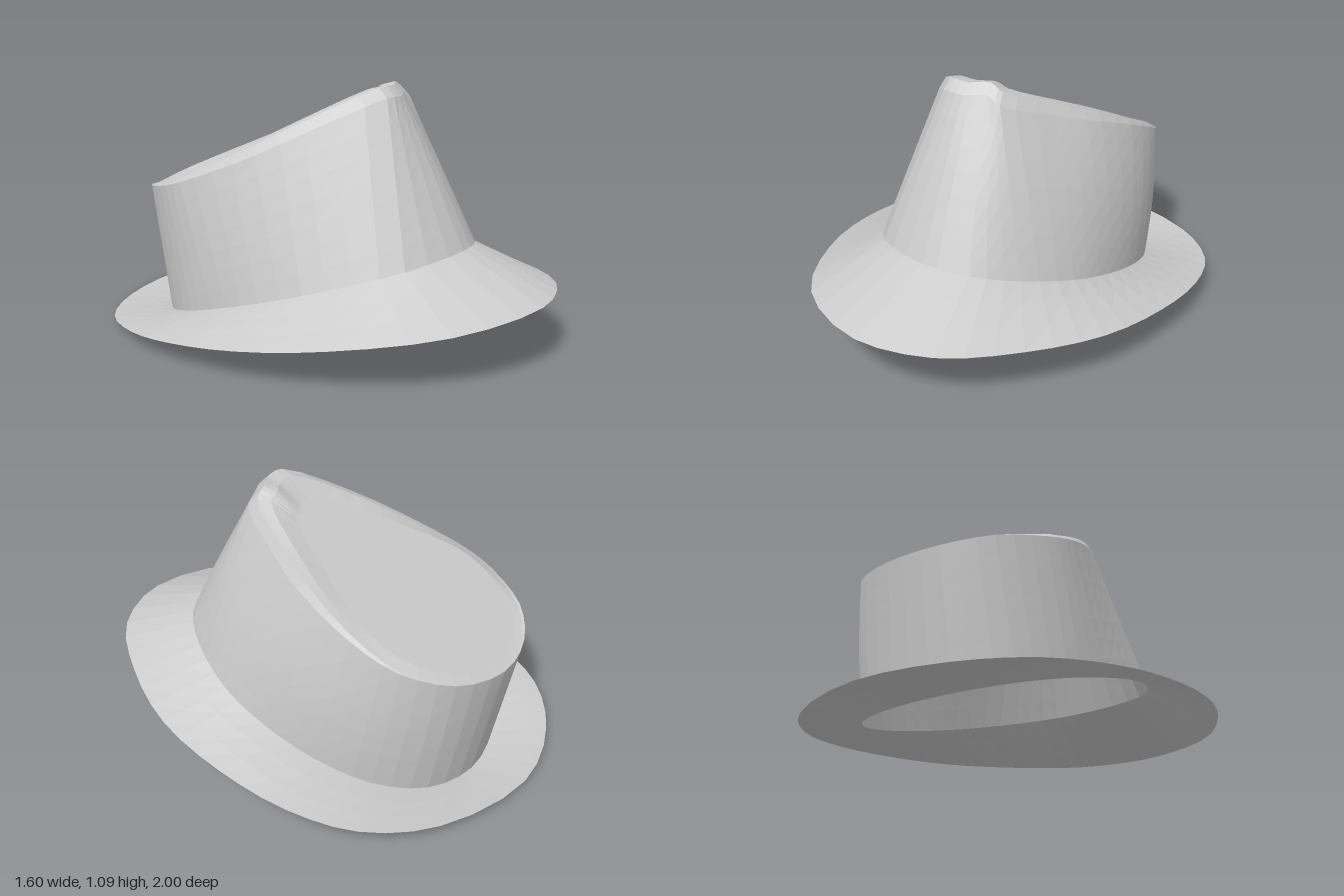
import * as THREE from 'three';

const SEG = 48;
const { clamp, lerp } = THREE.MathUtils;
const material = new THREE.MeshStandardMaterial({ color: 0xcccccc, flatShading: true, side: THREE.DoubleSide });

// Smooth closed ring through a few points; starts at the front and runs towards +x
function ring(points) {
  const curve = new THREE.CatmullRomCurve3(points.map(p => new THREE.Vector3(...p)), true);
  return Array.from({ length: SEG }, (_, i) => curve.getPoint(i / SEG));
}

// Lift [x, z] points onto a tilted plane
const onPlane = (points, y0, sx, sz) => points.map(([x, z]) => [x, y0 + sx * x + sz * z, z]);

// Surface through a stack of rings, outside facing out and up
function loft(name, rings) {
  const pos = rings.flat().flatMap(v => [v.x, v.y, v.z]);
  const index = [];
  for (let j = 0; j < rings.length - 1; j++) {
    for (let i = 0; i < SEG; i++) {
      const k = (i + 1) % SEG;
      const a = j * SEG + i, b = j * SEG + k, c = a + SEG, d = b + SEG;
      index.push(a, b, d, a, d, c);
    }
  }
  const geo = new THREE.BufferGeometry();
  geo.setAttribute('position', new THREE.Float32BufferAttribute(pos, 3));
  geo.setIndex(index);
  geo.computeVertexNormals();
  const mesh = new THREE.Mesh(geo, material);
  mesh.name = name;
  return mesh;
}

// Rings between two rings; the left side is pushed outwards in the middle by bulge
function between(lower, upper, steps, bulge) {
  return Array.from({ length: steps + 1 }, (_, j) => {
    const t = j / steps;
    return lower.map((p, i) => {
      const out = new THREE.Vector3(p.x, 0, p.z + 0.08).normalize();
      const amount = bulge * Math.max(0, out.x) * Math.sin(Math.PI * t);
      return p.clone().lerp(upper[i], t).addScaledVector(out, amount);
    });
  });
}

export function createModel() {
  const hat = new THREE.Group();
  hat.name = 'hat';

  // Outer edge of the brim
  const edge = ring(onPlane([
    [0.1, 1], [0.41, 0.89], [0.62, 0.62], [0.76, 0.3], [0.8, -0.05], [0.77, -0.38], [0.66, -0.65], [0.41, -0.87],
    [-0.05, -1], [-0.41, -0.91], [-0.65, -0.72], [-0.77, -0.45], [-0.8, -0.18], [-0.76, 0.16], [-0.62, 0.5], [-0.32, 0.86],
  ], 0.147, 0.038, 0.123));

  // Seam where brim and crown meet, tilted more steeply than the edge
  const seam = ring(onPlane([
    [0.1, 0.625], [0.29, 0.56], [0.42, 0.4], [0.51, 0.17], [0.53, -0.05], [0.5, -0.3], [0.41, -0.53], [0.24, -0.7],
    [0, -0.77], [-0.25, -0.72], [-0.43, -0.58], [-0.52, -0.4], [-0.54, -0.2], [-0.51, 0.04], [-0.4, 0.31], [-0.2, 0.55],
  ], 0.236, 0.03, 0.305));

  // Teardrop rim of the crown, pinched at the front
  const rim = ring([
    [0.06, 1.085, 0.33], [0.14, 1.09, 0.28], [0.2, 1.06, 0.27], [0.31, 0.98, 0.06],
    [0.39, 0.905, -0.15], [0.42, 0.785, -0.42], [0.37, 0.68, -0.62], [0.22, 0.6, -0.78],
    [-0.02, 0.56, -0.86], [-0.25, 0.565, -0.82], [-0.42, 0.6, -0.7], [-0.52, 0.65, -0.52],
    [-0.535, 0.7, -0.38], [-0.45, 0.81, -0.15], [-0.28, 0.95, 0.1], [-0.04, 1.085, 0.33],
  ]);

  // The wall stops short of the rim, leaving a bevel that fades out at the back
  const bevel = p => clamp((p.z + 0.7) / 0.6, 0, 1);
  const wallTop = rim.map(p => new THREE.Vector3(p.x, p.y - 0.04 * bevel(p), p.z));

  // Nearly flat sloping top, settling from the rim onto a tilted plane
  const centre = new THREE.Vector3(-0.05, 0, -0.35);
  const top = [0.06, 0.15, 0.3, 0.45, 0.7, 1].map(s => rim.map(p => {
    const v = p.clone().lerp(centre, lerp(s * bevel(p), s, s));
    v.y = lerp(p.y, 0.95 + 0.08 * v.x + 0.46 * v.z, clamp((s - 0.06) / 0.24, 0, 1));
    return v;
  }));

  hat.add(
    loft('brim', between(edge, seam, 3, 0)),
    loft('crownWall', between(seam, wallTop, 7, 0.02)),
    loft('crownBevel', [wallTop, top[0]]),
    loft('crownTop', top),
  );
  return hat;
}
